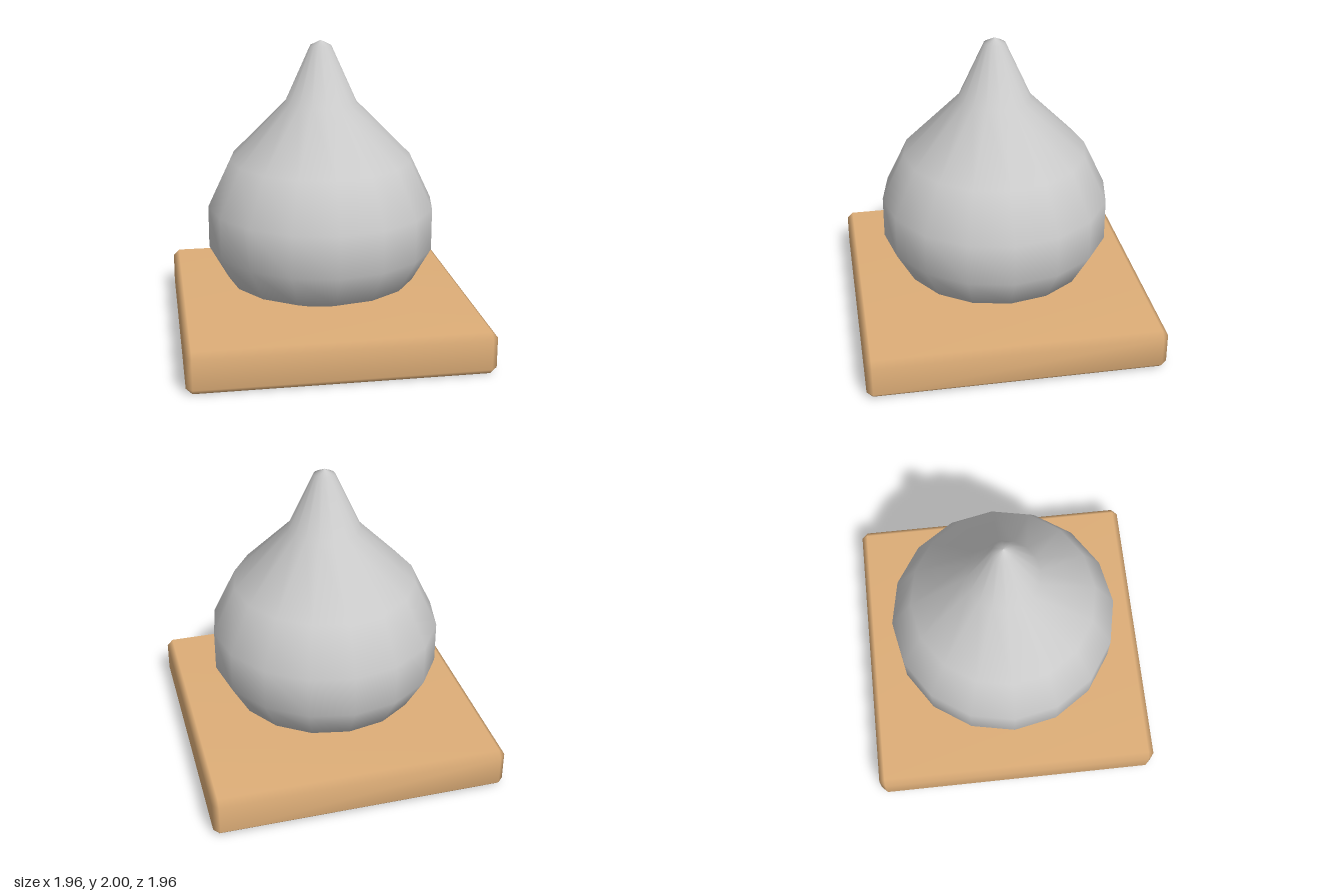
import * as THREE from 'three';
import { mergeVertices } from 'three/addons/utils/BufferGeometryUtils.js';
import { ConvexGeometry } from 'three/addons/geometries/ConvexGeometry.js';

// Box with single-step chamfers on every edge and soft shading
function chamferedBox(w, h, d, c) {
  const half = [w / 2, h / 2, d / 2];
  const points = [];
  for (const sx of [-1, 1]) for (const sy of [-1, 1]) for (const sz of [-1, 1]) {
    for (let axis = 0; axis < 3; axis++) {
      const p = half.map((v, i) => (i === axis ? v : v - c));
      points.push(new THREE.Vector3(p[0] * sx, p[1] * sy, p[2] * sz));
    }
  }
  const hull = new ConvexGeometry(points);
  hull.deleteAttribute('normal');
  const geometry = mergeVertices(hull);
  geometry.computeVertexNormals();
  return geometry;
}

export function createModel() {
  const group = new THREE.Group();
  group.name = 'dropOnPlinth';

  // Square wooden plinth
  const plinth = new THREE.Mesh(
    chamferedBox(1.96, 0.28, 1.96, 0.04),
    new THREE.MeshStandardMaterial({ color: 0xdeae78 })
  );
  plinth.name = 'plinth';
  plinth.position.y = 0.14;
  group.add(plinth);

  // Sixteen-sided drop, its underside sunk slightly into the plinth
  const profile = [
    [0, 0.24], [0.34, 0.27], [0.635, 0.395], [0.76, 0.62], [0.76, 0.9],
    [0.61, 1.215], [0.24, 1.59], [0.07, 1.965], [0, 2],
  ].map(([r, y]) => new THREE.Vector2(r, y));
  const drop = new THREE.Mesh(
    new THREE.LatheGeometry(profile, 16),
    new THREE.MeshStandardMaterial({ color: 0xcccccc })
  );
  drop.name = 'drop';
  group.add(drop);

  return group;
}
